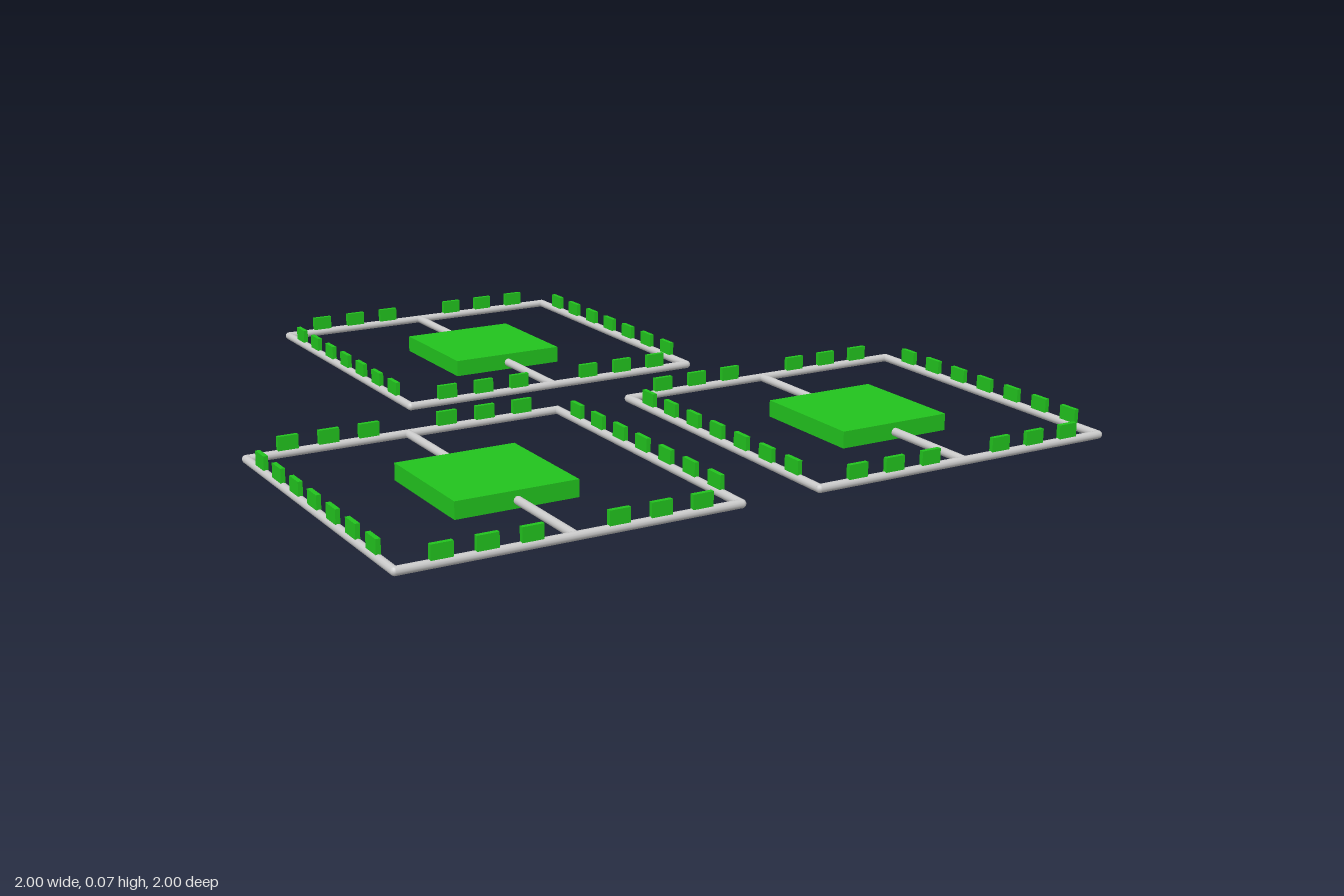
import * as THREE from 'three';

const HALF = 0.439; // frame centreline half-width
const R = 0.011; // tube radius
const Y = 0.02; // tube height

const grey = new THREE.MeshStandardMaterial({ color: 0xcccccc });
const green = new THREE.MeshStandardMaterial({ color: 0x22c41e });

function add(parent, name, geometry, material, x, y, z) {
  const mesh = new THREE.Mesh(geometry, material);
  mesh.name = name;
  mesh.position.set(x, y, z);
  parent.add(mesh);
  return mesh;
}

function createUnit() {
  const unit = new THREE.Group();
  const tube = new THREE.CylinderGeometry(R, R, 2 * HALF, 12);
  const tubeX = tube.clone().rotateZ(Math.PI / 2);
  const tubeZ = tube.clone().rotateX(Math.PI / 2);
  const corner = new THREE.SphereGeometry(R, 12, 8);
  const tabX = new THREE.BoxGeometry(0.055, 0.05, 0.012);
  const tabZ = new THREE.BoxGeometry(0.012, 0.05, 0.055);

  // Square tube frame with rounded corners
  for (const s of [-1, 1]) {
    add(unit, 'frameRailAcross', tubeX, grey, 0, Y, s * HALF);
    add(unit, 'frameRailSide', tubeZ, grey, s * HALF, Y, 0);
    for (const t of [-1, 1]) add(unit, 'frameCorner', corner, grey, s * HALF, Y, t * HALF);

    // Upright tabs: seven on each side rail, six on the others, which skip the crossbar
    for (let i = -3; i <= 3; i++) {
      add(unit, 'sideTab', tabZ, green, s * HALF, 0.041, i * 0.11);
      if (i !== 0) add(unit, 'endTab', tabX, green, i * 0.11, 0.041, s * HALF);
    }
  }

  // Crossbar carrying the central pad
  add(unit, 'crossbar', tubeZ, grey, 0, Y, 0);
  add(unit, 'pad', new THREE.BoxGeometry(0.328, 0.045, 0.328), green, 0, 0.0225, 0);
  return unit;
}

export function createModel() {
  const model = new THREE.Group();
  model.name = 'framedPads';
  // One frame at the back, two at the front
  const places = [['backFrame', 0, -0.55], ['rightFrame', -0.55, 0.55], ['leftFrame', 0.55, 0.55]];
  for (const [name, x, z] of places) {
    const unit = createUnit();
    unit.name = name;
    unit.position.set(x, 0, z);
    model.add(unit);
  }
  return model;
}
